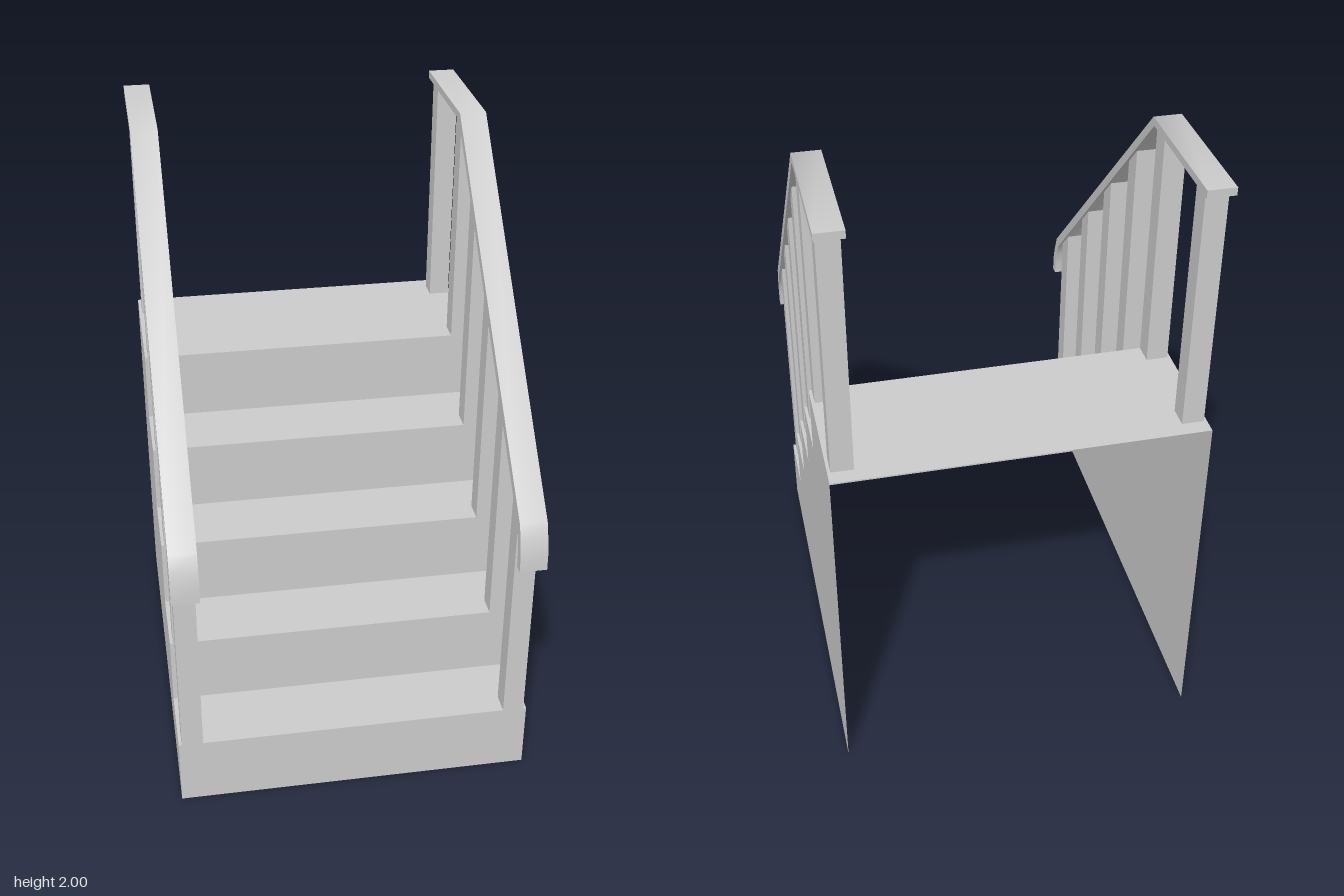
import * as THREE from 'three';
import { toCreasedNormals } from 'three/addons/utils/BufferGeometryUtils.js';

const HALF_W = 0.585, BACK = -0.745, FRONT = 0.66, RUN = 0.234, RISE = 0.235, STEPS = 5;
const POST_W = 0.07, POST_X = 0.54, RAIL_W = 0.088, RAIL_X = 0.539;

// Shape drawn with (z, y) points
const sideShape = (points) => new THREE.Shape(points.map(([z, y]) => new THREE.Vector2(z, y)));

// Extrude a (z, y) profile across x, centred on x = 0
function extrudeAcross(points, width) {
  const g = new THREE.ExtrudeGeometry(sideShape(points), { depth: width, bevelEnabled: false });
  return g.translate(0, 0, -width / 2).rotateY(-Math.PI / 2);
}

// Height of the underside of the handrail at z
const railUnder = (z) => (z < -0.275 ? 1.975 : 1.975 - 1.01 * (z + 0.275));

export function createModel() {
  const model = new THREE.Group();
  const solid = new THREE.MeshStandardMaterial({ color: 0xcccccc });
  const thin = new THREE.MeshStandardMaterial({ color: 0xcccccc, side: THREE.DoubleSide });

  const add = (name, geometry, material, x = 0, y = 0, z = 0) => {
    const mesh = new THREE.Mesh(geometry, material);
    mesh.name = name;
    mesh.position.set(x, y, z);
    model.add(mesh);
  };

  // Thin risers and treads; the last tread is the deep landing
  const outline = [[BACK, 0], [FRONT, 0]];
  for (let i = 0; i < STEPS; i++) {
    const z = FRONT - i * RUN;
    const zBack = i === STEPS - 1 ? BACK : z - RUN;
    const top = (i + 1) * RISE;
    add('riser', new THREE.PlaneGeometry(HALF_W * 2, RISE), thin, 0, top - RISE / 2, z);
    add(i === STEPS - 1 ? 'landing' : 'tread',
      new THREE.PlaneGeometry(HALF_W * 2, z - zBack).rotateX(-Math.PI / 2), thin, 0, top, (z + zBack) / 2);
    outline.push([z, top], [zBack, top]);
  }

  // Stepped side panels, open at the back and underneath
  const panel = new THREE.ShapeGeometry(sideShape(outline)).rotateY(-Math.PI / 2);
  const panelLeft = panel.clone().scale(-1, 1, 1);
  // keep the mirrored panel facing outward
  const idx = panelLeft.index.array;
  for (let i = 0; i < idx.length; i += 3) [idx[i], idx[i + 1]] = [idx[i + 1], idx[i]];
  panelLeft.computeVertexNormals();
  add('rightSidePanel', panel, thin, -HALF_W);
  add('leftSidePanel', panelLeft, thin, HALF_W);

  // Handrail: level over the landing, sloping down, curled at the end
  const rail = toCreasedNormals(extrudeAcross([
    [-0.73, 1.975], [-0.275, 1.975], [0.685, 1.005], [0.703, 0.96], [0.713, 0.92], [0.715, 0.87],
    [0.745, 0.87], [0.743, 0.925], [0.732, 0.97], [0.71, 1.025], [-0.263, 2], [-0.73, 2],
  ], RAIL_W), 1);

  // Posts: one at the front of each step and one at the back of the landing
  const posts = [];
  for (let i = 0; i < STEPS; i++) posts.push([FRONT - i * RUN, (i + 1) * RISE]);
  posts.push([-0.625, STEPS * RISE]);

  for (const [side, s] of [['left', 1], ['right', -1]]) {
    add(side + 'Handrail', rail, solid, s * RAIL_X);
    for (const [z, base] of posts) {
      const zb = z - POST_W;
      const post = extrudeAcross([[zb, base], [z, base], [z, railUnder(z)], [zb, railUnder(zb)]], POST_W);
      add(side + 'Post', post, solid, s * POST_X);
    }
  }
  return model;
}
